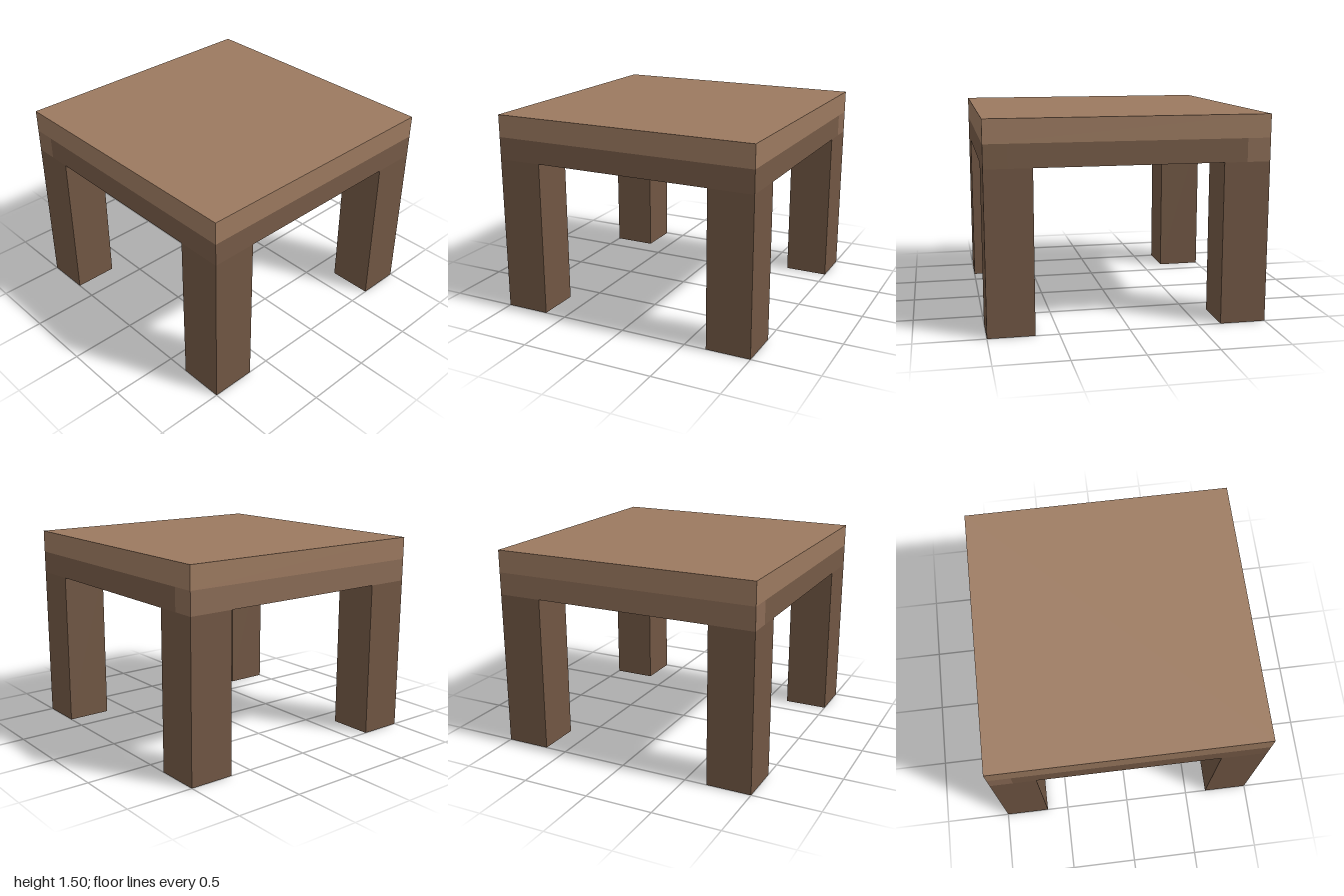
import * as THREE from 'three';

const T = 1 / 6; // board thickness
const LEG = 1 / 3; // leg width
const LEG_H = 7 / 6; // leg height

export function createModel() {
  const table = new THREE.Group();
  table.name = 'table';

  const wood = (color) => new THREE.MeshStandardMaterial({ color });
  const topWood = wood(0x9b795f);
  const railWood = wood(0x755a46);
  const backRailWood = wood(0x8a6b55);
  const legWood = wood(0x705643);

  const addBox = (name, material, [w, h, d], [x, y, z]) => {
    const mesh = new THREE.Mesh(new THREE.BoxGeometry(w, h, d), material);
    mesh.name = name;
    mesh.position.set(x, y, z);
    table.add(mesh);
  };

  // Table top
  addBox('tableTop', topWood, [2, T, 2], [0, LEG_H + 1.5 * T, 0]);

  // Rails under the top: front and back full width, sides between them
  const railY = LEG_H + T / 2;
  const railPos = 1 - T / 2;
  addBox('frontRail', railWood, [2, T, T], [0, railY, railPos]);
  addBox('backRail', backRailWood, [2, T, T], [0, railY, -railPos]);
  for (const s of [1, -1]) {
    addBox(s > 0 ? 'leftRail' : 'rightRail', railWood, [T, T, 2 - 2 * T], [s * railPos, railY, 0]);
  }

  // Four corner legs
  const legPos = 1 - LEG / 2;
  for (const sx of [1, -1]) {
    for (const sz of [1, -1]) {
      const name = (sz > 0 ? 'front' : 'back') + (sx > 0 ? 'Left' : 'Right') + 'Leg';
      addBox(name, legWood, [LEG, LEG_H, LEG], [sx * legPos, LEG_H / 2, sz * legPos]);
    }
  }

  return table;
}
